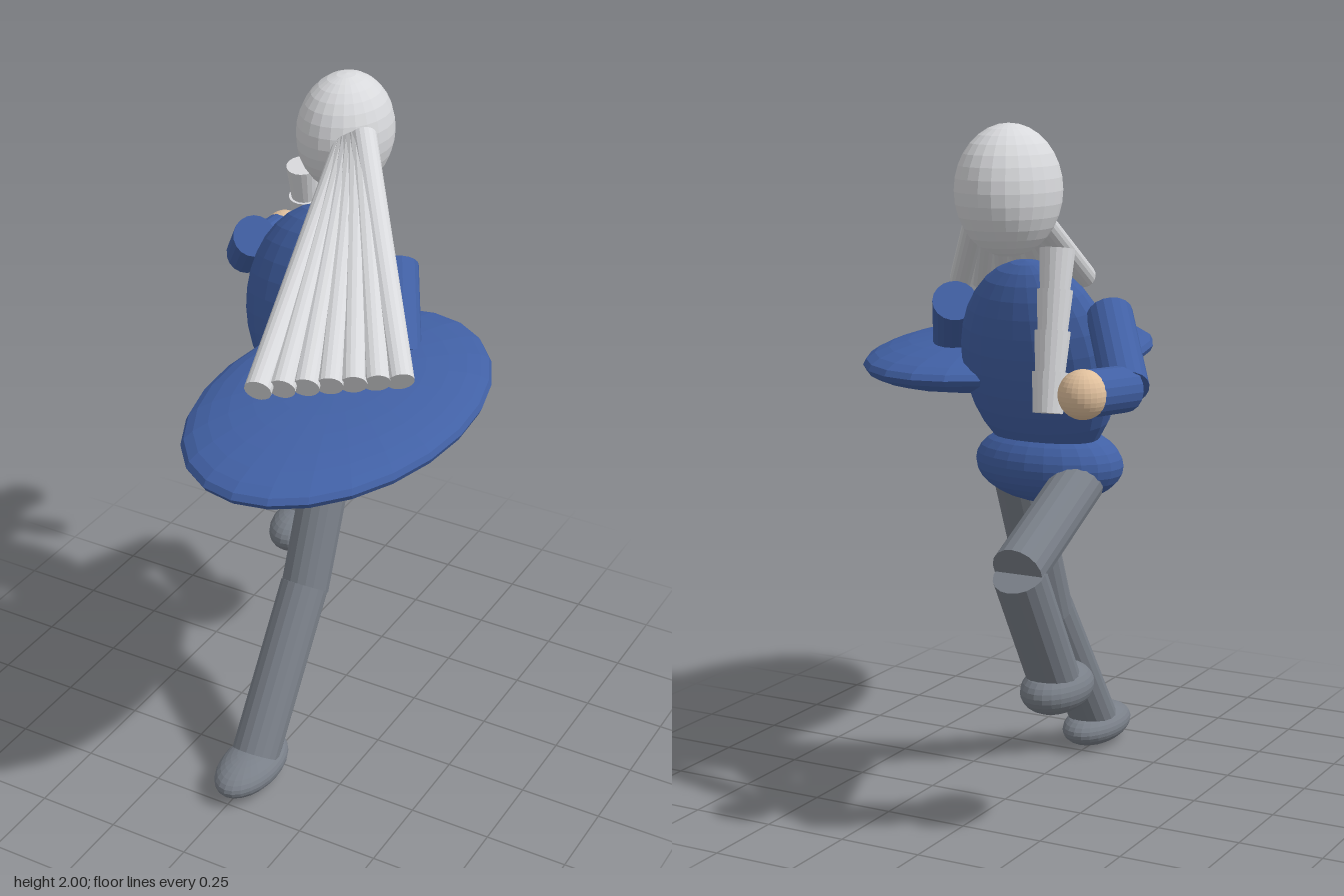
import * as THREE from 'three';

const mat = (name, color) => new THREE.MeshStandardMaterial({ name, color, flatShading: true });

export function createModel() {
  const model = new THREE.Group();
  const blue = mat('blue cloth', 0x4160a4);
  const grey = mat('grey trousers', 0x797f88);
  const light = mat('pale grey', 0xd8d9dc);
  const skin = mat('skin', 0xdfbf9c);
  const V = (p) => new THREE.Vector3(...p);

  // Ellipsoid from centre and semi-axes
  function ball(name, material, centre, radii, tilt = 0) {
    const mesh = new THREE.Mesh(new THREE.SphereGeometry(1, 24, 16), material);
    mesh.name = name;
    mesh.position.set(...centre);
    mesh.scale.set(...radii);
    mesh.rotation.x = tilt;
    model.add(mesh);
  }

  // Cylinder between two points
  function limb(name, material, from, to, rFrom, rTo = rFrom) {
    const a = V(from), b = V(to), dir = b.clone().sub(a);
    const mesh = new THREE.Mesh(new THREE.CylinderGeometry(rTo, rFrom, dir.length(), 18), material);
    mesh.name = name;
    mesh.position.copy(a).add(b).multiplyScalar(0.5);
    mesh.quaternion.setFromUnitVectors(new THREE.Vector3(0, 1, 0), dir.normalize());
    model.add(mesh);
  }
  const mix = (a, b, t) => a.map((v, i) => v + (b[i] - v) * t);

  // Head and body
  ball('head', light, [-0.13, 1.82, -0.453], [0.141, 0.18, 0.17]);
  ball('torso', blue, [-0.13, 1.325, -0.283], [0.235, 0.305, 0.135], -0.25);
  ball('pelvis', blue, [-0.13, 1.03, -0.218], [0.225, 0.116, 0.152]);

  // Right arm, bent backwards
  limb('rightUpperArm', blue, [-0.365, 1.48, -0.31], [-0.505, 1.312, -0.495], 0.064);
  limb('rightForearm', blue, [-0.5, 1.312, -0.495], [-0.475, 1.323, -0.67], 0.063);
  ball('rightHand', skin, [-0.472, 1.323, -0.68], [0.066, 0.066, 0.066]);

  // Left arm, reaching forward under the disc
  limb('leftUpperArm', blue, [0.115, 1.49, -0.325], [0.235, 1.31, -0.12], 0.064);
  limb('leftForearm', blue, [0.235, 1.31, -0.12], [0.222, 1.2, 0.06], 0.063);
  ball('leftHand', skin, [0.222, 1.19, 0.08], [0.066, 0.066, 0.066]);

  // Wide flat disc
  ball('disc', blue, [0.183, 1.277, 0.14], [0.378, 0.085, 0.602]);

  // Left leg, planted in front
  limb('leftThigh', grey, [-0.01, 1.0, -0.19], [0.0, 0.515, 0.025], 0.074);
  limb('leftShin', grey, [0.0, 0.525, 0.028], [0.005, 0.09, 0.34], 0.074);
  ball('leftFoot', grey, [0.003, 0.062, 0.362], [0.09, 0.06, 0.163]);

  // Right leg, lifted behind
  limb('rightThigh', grey, [-0.252, 0.995, -0.27], [-0.252, 0.815, -0.632], 0.074);
  limb('rightShin', grey, [-0.255, 0.805, -0.628], [-0.255, 0.45, -0.42], 0.074);
  ball('rightFoot', grey, [-0.255, 0.43, -0.405], [0.092, 0.072, 0.143]);

  // Fan of tubes spreading from the face
  for (let i = 0; i < 7; i++) {
    const t = i / 6;
    limb('fanTube' + (i + 1), light,
      mix([-0.062, 1.83, -0.325], [0.0, 1.88, -0.32], t),
      mix([0.125, 1.472, 0.5], [0.435, 1.472, 0.268], t), 0.038);
  }

  // Stacked tail segments hanging behind the head
  const tailTop = [-0.285, 1.67, -0.465], tailEnd = [-0.305, 1.24, -0.558];
  for (let i = 0; i < 4; i++) {
    limb('tailSegment' + (i + 1), light,
      mix(tailTop, tailEnd, i / 4), mix(tailTop, tailEnd, (i + 1) / 4), 0.049, 0.041);
  }
  return model;
}
